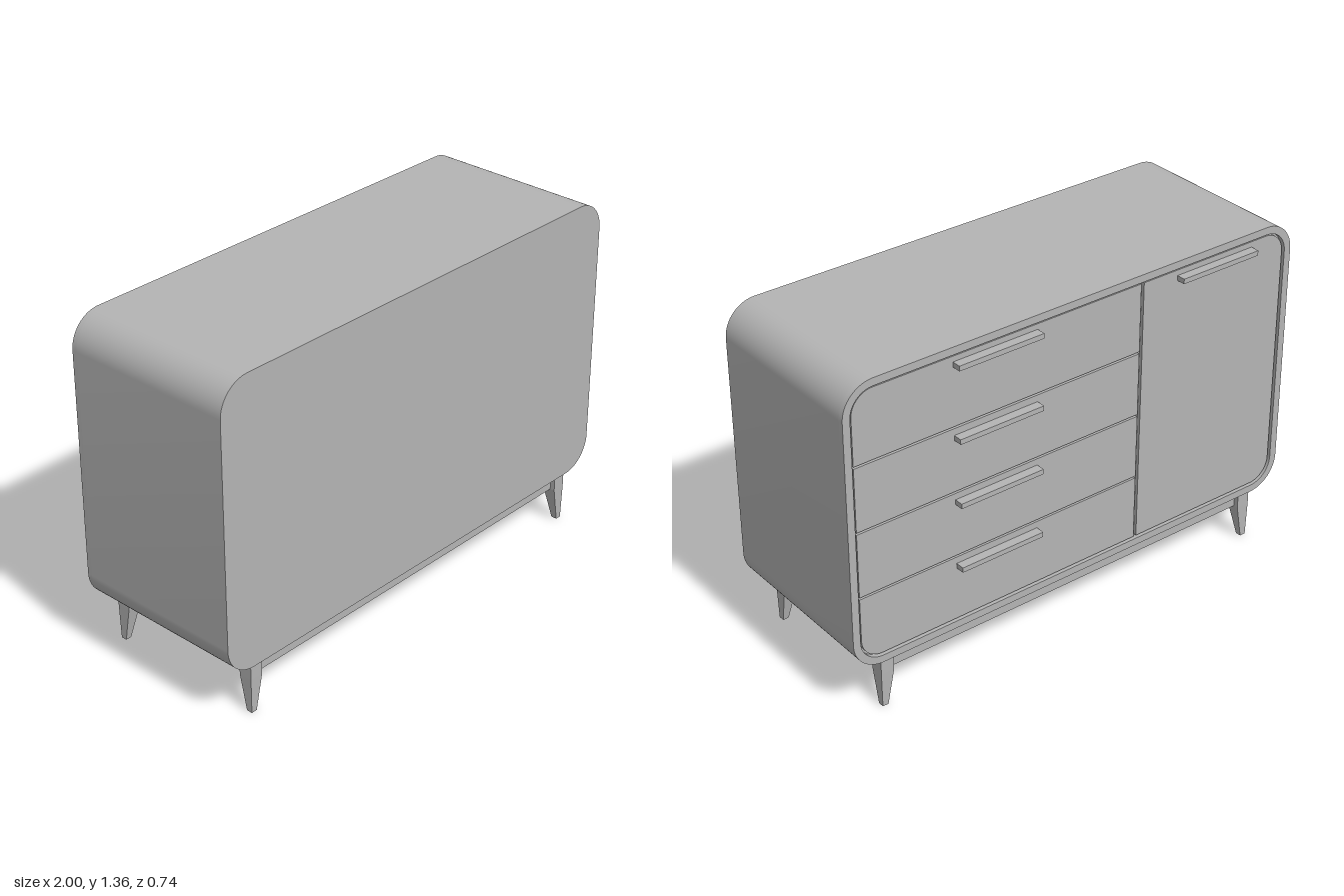
import * as THREE from 'three';
import { toCreasedNormals } from 'three/addons/utils/BufferGeometryUtils.js';

// Rectangle with its own radius at each corner: bottom right, top right, top left, bottom left
function roundedRect(x0, y0, x1, y1, [br, tr, tl, bl], target = new THREE.Shape()) {
  const h = Math.PI / 2;
  const corner = (x, y, r, start) => {
    if (r > 0) target.absarc(x, y, r, start, start + h, false);
    else target.lineTo(x, y);
  };
  target.moveTo(x0 + bl, y0);
  corner(x1 - br, y0 + br, br, -h);
  corner(x1 - tr, y1 - tr, tr, 0);
  corner(x0 + tl, y1 - tl, tl, h);
  corner(x0 + bl, y0 + bl, bl, 2 * h);
  return target;
}

function slab(shape, z0, z1) {
  const geo = new THREE.ExtrudeGeometry(shape, { depth: z1 - z0, bevelEnabled: false, curveSegments: 8 });
  geo.translate(0, 0, z0);
  return toCreasedNormals(geo, 0.5);
}

export function createModel() {
  const model = new THREE.Group();
  model.name = 'sideboard';
  const grey = new THREE.MeshStandardMaterial({ color: 0xb4b4b4 });
  grey.name = 'grey';

  const add = (name, geo, x = 0, y = 0, z = 0) => {
    const mesh = new THREE.Mesh(geo, grey);
    mesh.name = name;
    mesh.position.set(x, y, z);
    model.add(mesh);
    return mesh;
  };

  // Cabinet body, and a rim round the recess on the drawer side
  const R = 0.125, RI = 0.095, recess = -0.32, rimZ = -0.34;
  const outline = () => roundedRect(-1, 0.21, 1, 1.36, [R, R, R, R]);
  add('body', slab(outline(), recess, 0.37));
  const rim = outline();
  rim.holes.push(roundedRect(-0.97, 0.24, 0.97, 1.33, [RI, RI, RI, RI], new THREE.Path()));
  add('rim', slab(rim, rimZ, recess));

  // Drawer fronts, one door and their bar handles
  const face = -0.334, gap = 0.008, r = RI - gap;
  const handleGeo = new THREE.BoxGeometry(0.36, 0.02, 0.045);
  const addHandle = (name, x, y) => add(name, handleGeo, x, y, -0.3475);

  const edges = [1.322, 1.044, 0.782, 0.515, 0.248];
  const handleY = [1.29, 1.003, 0.742, 0.474];
  handleY.forEach((y, i) => {
    const top = edges[i] - (i > 0 ? gap / 2 : 0);
    const bottom = edges[i + 1] + (i < 3 ? gap / 2 : 0);
    const corners = [i === 3 ? r : 0, i === 0 ? r : 0, 0, 0];
    add('drawerFront' + (i + 1), slab(roundedRect(-0.275, bottom, 0.962, top, corners), face, recess));
    addHandle('drawerHandle' + (i + 1), 0.37, y);
  });
  add('door', slab(roundedRect(-0.962, 0.248, -0.288, 1.322, [0, 0, r, r]), face, recess));
  addHandle('doorHandle', -0.625, 1.29);

  // Plinth under the body
  add('plinth', new THREE.BoxGeometry(1.72, 0.065, 0.64), 0, 0.1775, 0.015);

  // Legs: upright outer faces, inner faces taper below the plinth
  const midZ = 0.015;
  for (const sx of [-1, 1]) {
    for (const sz of [-1, 1]) {
      const geo = new THREE.BoxGeometry(0.055, 0.21, 0.055, 1, 2, 1);
      const pos = geo.attributes.position;
      for (let i = 0; i < pos.count; i++) {
        const level = pos.getY(i);
        const foot = level < -0.05;
        const y = level > 0.05 ? 0.21 : foot ? 0 : 0.145;
        const outerX = pos.getX(i) * sx > 0, outerZ = pos.getZ(i) * sz > 0;
        const x = outerX ? (foot ? 0.877 : 0.88) : (foot ? 0.853 : 0.825);
        const z = outerZ ? (foot ? 0.337 : 0.34) : (foot ? 0.313 : 0.285);
        pos.setXYZ(i, sx * x, y, midZ + sz * z);
      }
      const flat = geo.toNonIndexed();
      flat.computeVertexNormals();
      add((sz > 0 ? 'front' : 'back') + (sx > 0 ? 'Left' : 'Right') + 'Leg', flat);
    }
  }
  return model;
}
